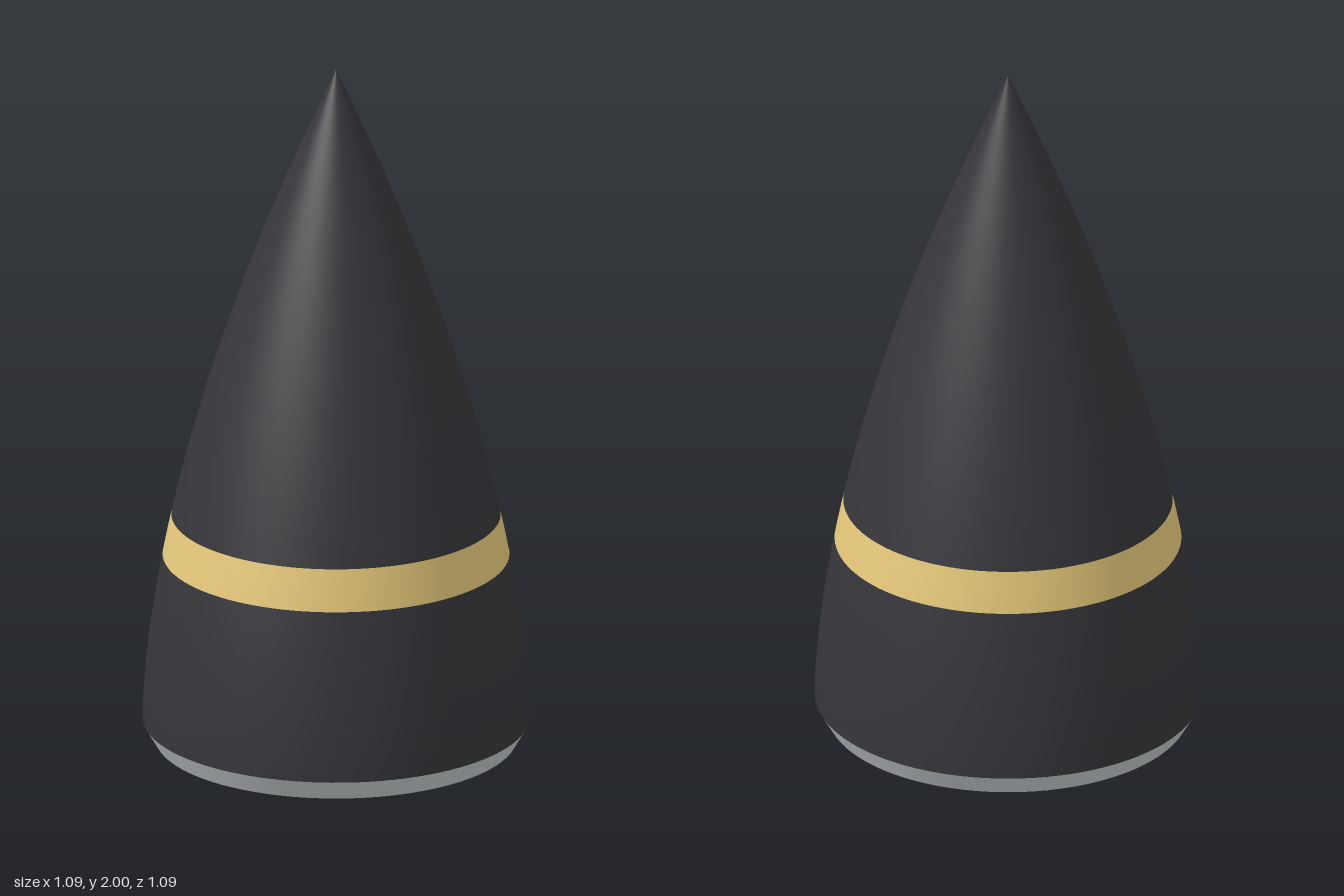
import * as THREE from 'three';

const BASE_Y = 0.06, TOP_Y = 2, RADIUS = 0.545, FOOT_RADIUS = 0.51;
const BAND_LOW = 0.55, BAND_HIGH = 0.67, SEGMENTS = 96;

// Radius of the curved shell at height y: upright at the base, pointed at the tip
function shellRadius(y) {
  const t = (y - BASE_Y) / (TOP_Y - BASE_Y);
  return RADIUS * Math.max(0, 1 - Math.pow(t, 1.65));
}

// Smooth slice of the shell between two heights
function shellSlice(y0, y1, steps) {
  const profile = [];
  for (let i = 0; i <= steps; i++) {
    const y = y0 + (y1 - y0) * i / steps;
    profile.push(new THREE.Vector2(shellRadius(y), y));
  }
  return new THREE.LatheGeometry(profile, SEGMENTS);
}

export function createModel() {
  const model = new THREE.Group();
  model.name = 'noseCone';
  const dark = new THREE.MeshStandardMaterial({ color: 0x36363b });
  const gold = new THREE.MeshStandardMaterial({ color: 0xe6c97a });
  const silver = new THREE.MeshStandardMaterial({ color: 0xc6cacc });

  const add = (name, geometry, material) => {
    const mesh = new THREE.Mesh(geometry, material);
    mesh.name = name;
    model.add(mesh);
    return mesh;
  };

  // Shell in three flush slices
  add('lowerShell', shellSlice(BASE_Y, BAND_LOW, 16), dark);
  add('band', shellSlice(BAND_LOW, BAND_HIGH, 4), gold);
  add('upperShell', shellSlice(BAND_HIGH, TOP_Y, 40), dark);

  // Bevelled foot ring tapering in towards the ground
  const ring = new THREE.CylinderGeometry(RADIUS, FOOT_RADIUS, BASE_Y, SEGMENTS, 1, true);
  add('footRing', ring, silver).position.y = BASE_Y / 2;

  // Closed underside
  const disc = new THREE.CircleGeometry(FOOT_RADIUS, SEGMENTS);
  add('underside', disc.rotateX(Math.PI / 2), dark);

  return model;
}
